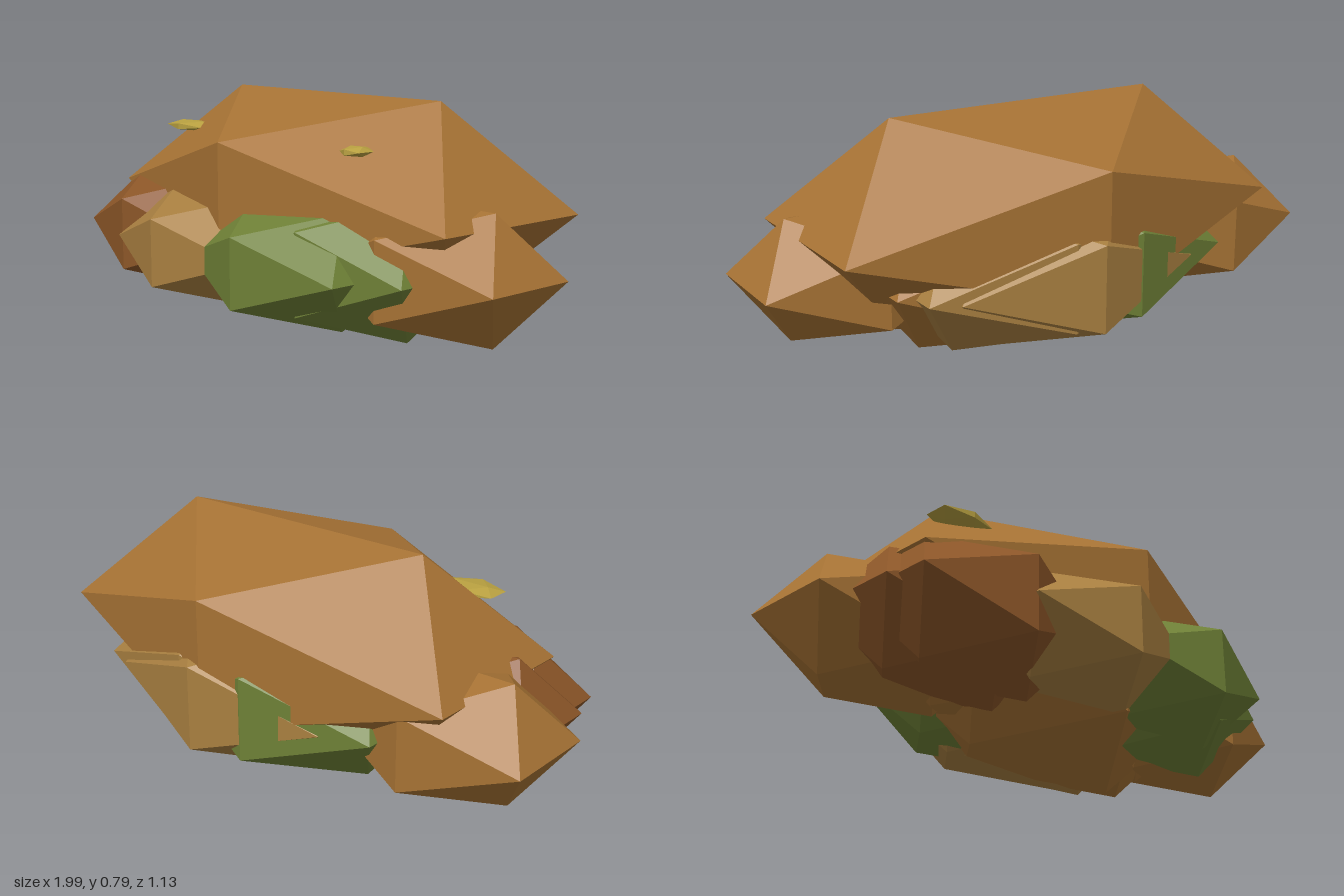
import * as THREE from 'three';

const material = (color) => new THREE.MeshStandardMaterial({ color, flatShading: true });

const BROWN = material(0xa67234);
const RUST = material(0x8c5628);
const TAN = material(0xa87f40);
const GREEN = material(0x6e8036);
const YELLOW = material(0xb8a040);

// One stretched, faceted boulder: centre and radii
function rock(group, name, mat, [x, y, z], [rx, ry, rz]) {
  const geometry = new THREE.IcosahedronGeometry(1, 0);
  geometry.scale(rx, ry, rz);
  const mesh = new THREE.Mesh(geometry, mat);
  mesh.name = name;
  mesh.position.set(x, y, z);
  group.add(mesh);
}

export function createModel() {
  const group = new THREE.Group();
  group.name = 'rockPile';

  // Large boulder on top and the two that carry it
  rock(group, 'topBoulder', BROWN, [0.03, 0.437, -0.055], [0.95, 0.415, 0.58]);
  rock(group, 'baseBoulder', BROWN, [0.03, 0.275, -0.05], [0.63, 0.323, 0.45]);
  rock(group, 'baseBoulderSide', BROWN, [0.17, 0.29, -0.1], [0.57, 0.315, 0.42]);

  // Ring of smaller rocks around the foot
  const ring = [
    ['leftRock', BROWN, [0.625, 0.285, 0.05], [0.43, 0.24, 0.32]],
    ['rightRock', BROWN, [-0.635, 0.285, -0.115], [0.43, 0.24, 0.32]],
    ['frontRightRock', RUST, [-0.51, 0.285, 0.19], [0.42, 0.24, 0.31]],
    ['frontRightInnerRock', RUST, [-0.54, 0.28, 0.065], [0.425, 0.24, 0.32]],
    ['frontTanRock', TAN, [-0.17, 0.283, 0.3], [0.41, 0.215, 0.31]],
    ['frontMossRock', GREEN, [0.25, 0.283, 0.3], [0.41, 0.215, 0.31]],
    ['frontMossInnerRock', GREEN, [0.4, 0.285, 0.17], [0.41, 0.25, 0.31]],
    ['backTanRock', TAN, [0.06, 0.285, -0.255], [0.52, 0.276, 0.37]],
    ['backTanInnerRock', TAN, [0.14, 0.29, -0.24], [0.54, 0.28, 0.34]],
    ['backMossRock', GREEN, [-0.12, 0.285, -0.2], [0.5, 0.27, 0.38]],
  ];
  ring.forEach((r) => rock(group, ...r));

  // Thin lichen flakes on the upper slopes
  rock(group, 'rightFlake', YELLOW, [-0.53, 0.647, 0.125], [0.125, 0.02, 0.08]);
  rock(group, 'leftFlake', YELLOW, [0.44, 0.647, 0.22], [0.05, 0.018, 0.06]);

  return group;
}
